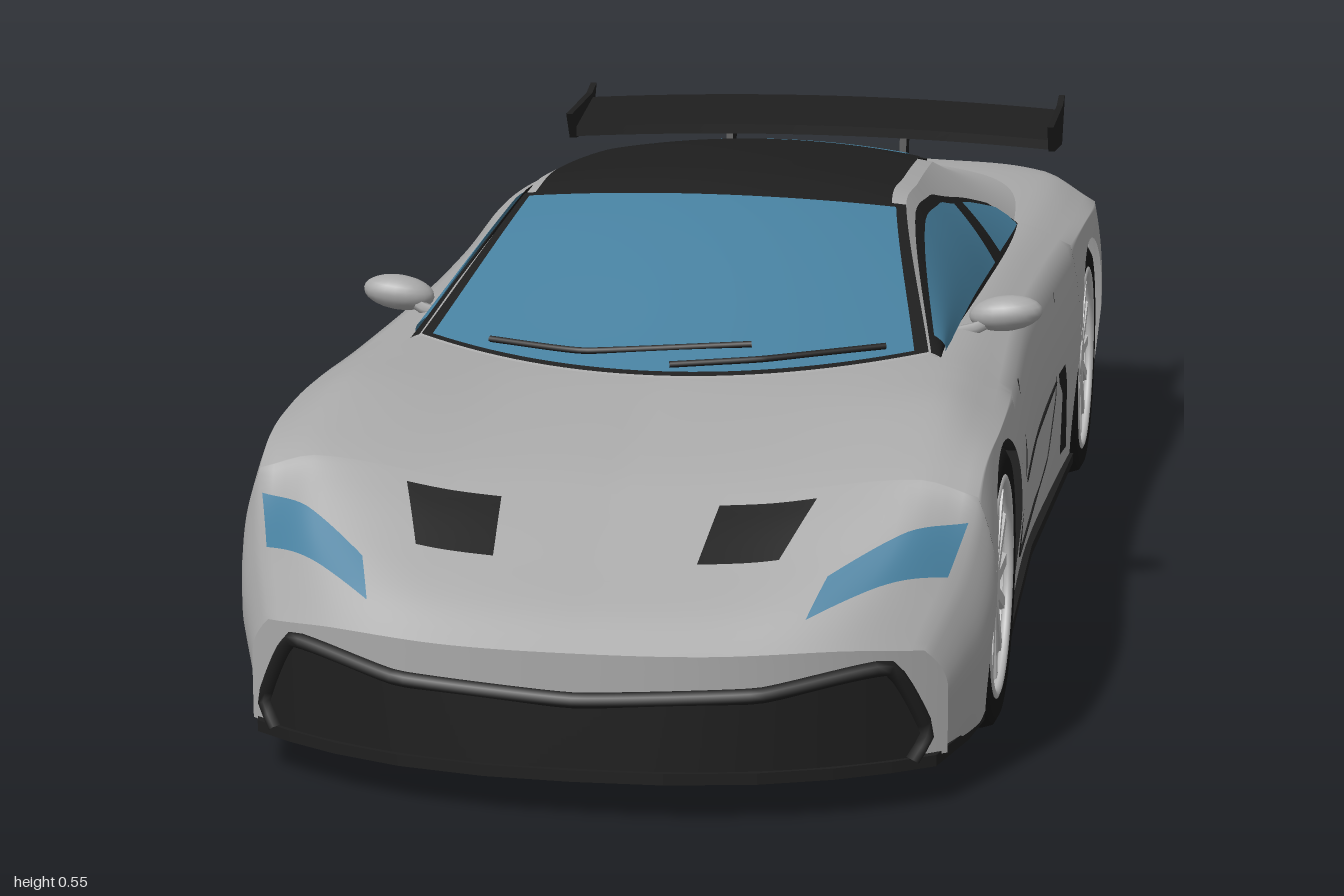
import * as THREE from 'three';
import { mergeGeometries, mergeVertices } from 'three/addons/utils/BufferGeometryUtils.js';

const mat = (name, color) => new THREE.MeshStandardMaterial({ name, color, side: THREE.DoubleSide });
const lerp = THREE.MathUtils.lerp;

// Linear and smooth interpolation in rows of [t, a, b, ...]
function span(rows, t) {
  let i = 0;
  while (i < rows.length - 2 && rows[i + 1][0] < t) i++;
  return i;
}
function lin(rows, t, c = 1) {
  const i = span(rows, t), a = rows[i], b = rows[i + 1];
  return lerp(a[c], b[c], THREE.MathUtils.clamp((t - a[0]) / (b[0] - a[0]), 0, 1));
}
function key(rows, t, c = 1) {
  const i = span(rows, t), n = rows.length - 1, a = rows[i], b = rows[i + 1], d = b[0] - a[0];
  const slope = k => {
    const p = rows[Math.max(k - 1, 0)], q = rows[Math.min(k + 1, n)];
    return (q[c] - p[c]) / (q[0] - p[0]) * d;
  };
  const f = THREE.MathUtils.clamp((t - a[0]) / d, 0, 1), g = f * f, h = g * f;
  return (2 * h - 3 * g + 1) * a[c] + (h - 2 * g + f) * slope(i) + (3 * g - 2 * h) * b[c] + (h - g) * slope(i + 1);
}

// Grid surface from a rule fn(u, v) -> [x, y, z]
function patch(fn, nu = 16, nv = 12) {
  const pos = [], idx = [];
  for (let j = 0; j <= nv; j++) for (let i = 0; i <= nu; i++) pos.push(...fn(i / nu, j / nv));
  for (let j = 0; j < nv; j++) for (let i = 0; i < nu; i++) {
    const a = j * (nu + 1) + i, c = a + nu + 1;
    idx.push(a, a + 1, c, a + 1, c + 1, c);
  }
  const g = new THREE.BufferGeometry();
  g.setAttribute('position', new THREE.Float32BufferAttribute(pos, 3));
  g.setIndex(idx);
  g.computeVertexNormals();
  return g;
}
const tube = (pts, r, closed = false, n = 32) => new THREE.TubeGeometry(
  new THREE.CatmullRomCurve3(pts.map(p => new THREE.Vector3(...p)), closed, 'catmullrom', 0.2), n, r, 6, closed);

// Body stations: z, centre y, crown x, crown y, shoulder x, shoulder y, widest x
const BODY = [
  [-0.985, 0.385, 0.33, 0.37, 0.39, 0.345, 0.41], [-0.93, 0.395, 0.34, 0.385, 0.4, 0.355, 0.42],
  [-0.8, 0.4, 0.35, 0.395, 0.42, 0.36, 0.433], [-0.6, 0.39, 0.35, 0.395, 0.42, 0.365, 0.435],
  [-0.3, 0.385, 0.34, 0.388, 0.405, 0.36, 0.422], [0, 0.38, 0.335, 0.385, 0.398, 0.36, 0.415],
  [0.3, 0.38, 0.335, 0.385, 0.41, 0.355, 0.426], [0.45, 0.372, 0.345, 0.385, 0.418, 0.355, 0.434],
  [0.57, 0.35, 0.35, 0.38, 0.42, 0.352, 0.436], [0.7, 0.318, 0.35, 0.35, 0.415, 0.338, 0.436],
  [0.78, 0.285, 0.34, 0.315, 0.41, 0.29, 0.434], [0.86, 0.25, 0.33, 0.272, 0.4, 0.242, 0.425],
  [0.93, 0.22, 0.3, 0.228, 0.385, 0.208, 0.41], [0.985, 0.187, 0.28, 0.187, 0.37, 0.177, 0.395]];
const AXLE = 0.165, ARCH = 0.172, FRONT = 0.57, REAR = -0.63, SILL = 0.055, END = 0.985;
const TUCK = [[0.05, 0.035], [0.14, 0], [0.25, -0.013], [0.385, 0]];

const topY = (x, z) => {
  const k = c => key(BODY, z, c), yc = k(1), xc = k(2), yr = k(3);
  return key([[0, yc], [xc / 2, yc + (yr - yc) * 0.3], [xc, yr], [k(4), k(5)]], Math.abs(x));
};
const sideX = (y, z) => {
  const xs = key(BODY, z, 4), ys = key(BODY, z, 5), f = Math.max(0, (ys - y) / (ys - SILL));
  const g = Math.min(1, f / 0.4);
  return xs + (key(BODY, z, 6) - xs) * (1 - (1 - g) ** 2) - 0.03 * Math.max(0, f - 0.5);
};
// Sweeps the nose and tail back towards the corners
function warp(x, y, z) {
  const f = Math.max(0, (z - 0.742) / 0.243), r = Math.max(0, (-0.802 - z) / 0.183), a = Math.abs(x);
  return [x, y, z - f * 0.13 * (a / 0.4) ** 2.5 + r * (0.07 * (a / 0.36) ** 4 + lin(TUCK, y))];
}
function section(s, z, low) {
  const a = Math.abs(s), sg = Math.sign(s);
  if (a <= 0.6501) { const x = key(BODY, z, 4) * a / 0.65; return [sg * x, topY(x, z)]; }
  const y = lerp(key(BODY, z, 5), low, (a - 0.65) / 0.35);
  return [sg * sideX(y, z), y];
}

// Cabin rows: v, centre z, centre y, edge z, edge x, edge y, base x, base y
const CABIN = [
  [0, 0.48, 0.377, 0.36, 0.312, 0.39, 0.32, 0.378], [1, 0.1, 0.527, 0.06, 0.247, 0.508, 0.33, 0.378],
  [1.5, -0.08, 0.537, -0.1, 0.243, 0.512, 0.335, 0.38], [2, -0.41, 0.503, -0.41, 0.225, 0.482, 0.345, 0.382],
  [3, -0.79, 0.42, -0.79, 0.185, 0.407, 0.345, 0.385], [3.4, -0.93, 0.392, -0.93, 0.19, 0.387, 0.335, 0.378]];
function cabinTop(u, v, e = 0) {
  const k = c => key(CABIN, v, c), q = u * u;
  return [k(4) * u, lerp(k(2), k(5), q) + e, lerp(k(1), k(3), q) + e * 0.3];
}
function cabinSide(w, v, e = 0) {
  const k = c => key(CABIN, v, c);
  return [lerp(k(4), k(6), w) + 0.008 * Math.sin(Math.PI * w) + e, lerp(k(5), k(7), w) + e * 0.6, k(3)];
}

export function createModel() {
  const paint = mat('body grey', 0xa8a8a8), black = mat('trim black', 0x1e1e1e), glass = mat('blue glass', 0x467f9e);
  const rubber = mat('tyre black', 0x161616), alloy = mat('wheel silver', 0xb9b9b9), steel = mat('brake grey', 0x555555);
  const car = new THREE.Group();
  car.name = 'sportsCar';
  const add = (name, geo, m, parent = car) => {
    const mesh = new THREE.Mesh(geo, m);
    mesh.name = name;
    parent.add(mesh);
    return mesh;
  };
  const pair = (name, geo, m) => { add(name + 'Left', geo, m); add(name + 'Right', geo, m).scale.x = -1; };

  // Body shell: three closed lengths and two wheel arches
  const flat = z => () => z;
  const rim = (c, d) => y => c + d * Math.sqrt(ARCH * ARCH - Math.max(0, AXLE - y) ** 2);
  const shell = [[flat(END), rim(FRONT, 1), 24], [rim(FRONT, -1), rim(REAR, 1), 36], [rim(REAR, -1), flat(-END), 18]]
    .map(([a, b, n]) => patch((u, v) => {
      const [x, y] = section(u * 2 - 1, lerp(a(1), b(1), v), SILL);
      return warp(x, y, lerp(a(y), b(y), v));
    }, 80, n));
  for (const c of [FRONT, REAR]) shell.push(patch((u, v) => {
    const z = c + ARCH * Math.cos(Math.PI * v);
    return warp(...section(u * 2 - 1, z, AXLE + ARCH * Math.sin(Math.PI * v)), z);
  }, 80, 28));
  shell.forEach(g => g.deleteAttribute('normal'));
  const body = mergeVertices(mergeGeometries(shell), 1e-4);
  body.computeVertexNormals();
  add('bodyShell', body, paint);
  for (const d of [1, -1]) add(d > 0 ? 'noseFace' : 'tailFace', patch((u, v) => {
    const [x, y] = section(d * (u * 2 - 1), d * END, SILL);
    return warp(x, lerp(SILL, y, v), d * END);
  }, 80, 12), paint);

  // Plates that follow the nose or tail face, between two height profiles
  const onFace = (x, y, d, e) => { const p = warp(x, y, d * END); p[2] += d * e; return p; };
  const facePlate = (x0, x1, lo, hi, d, e) => patch((u, v) => {
    const x = lerp(x0, x1, u) * d, a = Math.abs(x);
    return onFace(x, lerp(lin(lo, a), lin(hi, a), v), d, e);
  }, 48, 8);
  const level = y => [[0, y], [1, y]];
  const grilleTop = [[0, 0.14], [0.2, 0.148], [0.33, 0.17], [0.345, 0.164], [0.375, 0.09]];
  const grilleLow = [[0, 0.05], [0.355, 0.05], [0.375, 0.085]];
  add('frontGrille', facePlate(-0.375, 0.375, grilleLow, grilleTop, 1, 0.005), black);
  const brow = [-0.36, -0.375, -0.335, -0.2, 0, 0.2, 0.335, 0.375, 0.36].map((x, i) =>
    onFace(x, i === 0 || i === 8 ? 0.055 : lin(grilleTop, Math.abs(x)) - 0.004, 1, 0.006));
  add('grilleFrame', tube(brow, 0.009, false, 60), black);
  add('rearPanel', facePlate(-0.375, 0.375, [[0, 0.2], [0.25, 0.2], [0.34, 0.22], [0.375, 0.28]],
    [[0, 0.362], [0.33, 0.36], [0.375, 0.34]], -1, 0.005), black);
  const panelRim = [[-0.17, 0.33], [0.17, 0.33], [0.2, 0.29], [0.15, 0.22], [-0.15, 0.22], [-0.2, 0.29]];
  add('rearPanelFrame', tube(panelRim.map(p => onFace(...p, -1, 0.008)), 0.007, true, 60), black);
  pair('tailLight', facePlate(-0.24, -0.365, level(0.33), level(0.357), -1, 0.009), glass);
  for (let i = 0; i < 4; i++) pair('rearSlat', tube([0.22, 0.28, 0.355].map(x => onFace(x, 0.235 + i * 0.024, -1, 0.007)), 0.005), black);
  add('diffuser', facePlate(-0.37, 0.37, level(0.052), [[0, 0.13], [0.2, 0.13], [0.37, 0.155]], -1, 0.006), black);
  for (let i = 0; i < 6; i++) {
    const x = -0.25 + i * 0.1;
    add('diffuserFin', new THREE.BoxGeometry(0.01, 0.06, 0.09), black).position.set(x, 0.09, -0.945 + Math.abs(x) * 0.08);
  }

  // Head lights and bonnet vents laid on the upper body; corners are [x, z]
  const topPlate = ([a, b, c, d], e) => patch((u, v) => {
    const x = lerp(lerp(a[0], b[0], u), lerp(d[0], c[0], u), v), z = lerp(lerp(a[1], b[1], u), lerp(d[1], c[1], u), v);
    const p = warp(x, topY(x, z), z);
    return [p[0], p[1] + e, p[2] + e];
  });
  pair('headLight', topPlate([[0.245, 0.95], [0.388, 0.875], [0.405, 0.785], [0.262, 0.895]], 0.004), glass);
  pair('bonnetVent', topPlate([[0.115, 0.86], [0.205, 0.86], [0.235, 0.765], [0.125, 0.765]], 0.004), black);

  // Side intakes, rear corner trim and door seams; points are [z, y]
  const onSide = (z, y, e) => { const p = warp(sideX(y, z), y, z); p[0] += e; return p; };
  const sidePlate = (A, B) => patch((u, v) => {
    const t = u * (A.length - 1), i = Math.min(Math.floor(t), A.length - 2), f = t - i;
    const at = (L, c) => lerp(L[i][c], L[i + 1][c], f);
    return onSide(lerp(at(A, 0), at(B, 0), v), lerp(at(A, 1), at(B, 1), v), 0.004);
  }, 16, 6);
  pair('sideIntake', sidePlate([[-0.2, 0.24], [-0.27, 0.238], [-0.385, 0.095]], [[-0.205, 0.228], [-0.25, 0.2], [-0.315, 0.1]]), black);
  pair('rearCornerTrim', sidePlate([[-0.8, 0.07], [-0.9, 0.085], [-0.98, 0.15]], [[-0.8, 0.055], [-0.9, 0.055], [-0.98, 0.055]]), black);
  const seam = [[0.28, 0.345], [0.285, 0.25], [0.27, 0.14], [0.22, 0.105], [-0.1, 0.105], [-0.18, 0.13], [-0.2, 0.22], [-0.25, 0.34]];
  pair('doorSeam', tube(seam.map(p => onSide(...p, 0)), 0.0015, false, 60), black);
  pair('sideCrease', tube([[0.27, 0.215], [0.05, 0.215], [-0.2, 0.228]].map(p => onSide(...p, 0)), 0.002), black);

  // Cabin shell with glass, roof and pillars laid over it
  const topBand = (w, v0, v1, e) => patch((u, v) => cabinTop((u * 2 - 1) * w, lerp(v0, v1, v), e), 28, 28);
  add('cabinTop', patch((u, v) => cabinTop(u * 2 - 1, v * 3.4), 28, 80), paint);
  pair('cabinSide', patch((u, v) => cabinSide(u, v * 3.4), 10, 80), paint);
  add('windscreenSurround', topBand(1, 0, 1.02, 0.003), black);
  add('windscreen', topBand(0.95, 0.01, 0.97, 0.006), glass);
  add('roofPanel', topBand(0.93, 0.97, 2, 0.006), black);
  add('rearWindowSurround', topBand(0.96, 2, 2.85, 0.003), black);
  add('rearWindow', topBand(0.84, 2, 3, 0.006), glass);
  const windowTop = [[0, 0], [1, 0.08], [1.5, 0.12], [1.8, 0.35], [2, 0.56], [2.1, 0.86]];
  const sideBand = (v0, v1, inset, low, e) => patch((u, v) => {
    const t = lerp(v0, v1, v);
    return cabinSide(lerp(Math.min(low, lin(windowTop, t) + inset), low, u), t, e);
  }, 8, 40);
  pair('sideWindowSurround', sideBand(0, 2.1, 0, 0.97, 0.003), black);
  pair('doorWindow', sideBand(0.12, 1.63, 0.09, 0.92, 0.006), glass);
  pair('quarterWindow', sideBand(1.72, 2.05, 0.07, 0.9, 0.006), glass);
  add('wiperLong', tube([[-0.7, 0.05], [-0.3, 0.07], [0.35, 0.13]].map(p => cabinTop(...p, 0.01)), 0.004), black);
  add('wiperShort', tube([[0.05, 0.03], [0.4, 0.05], [0.85, 0.05]].map(p => cabinTop(...p, 0.01)), 0.004), black);

  // Door mirrors
  pair('mirrorHousing', new THREE.SphereGeometry(1, 20, 12).scale(0.046, 0.022, 0.026).rotateZ(0.12).translate(0.386, 0.402, 0.17), paint);
  pair('mirrorArm', tube([[0.32, 0.378, 0.19], [0.35, 0.385, 0.185], [0.37, 0.395, 0.175]], 0.008), paint);

  // Floor pan with splitter and wheel notches, as [x, z]
  const half = [0, 0.1, 0.2, 0.28, 0.34, 0.385].map(x => [x, warp(x, 0.1, 0.985)[2] + 0.012]);
  half.push([0.41, 0.78], [0.42, 0.705], [0.29, 0.705], [0.29, 0.435], [0.42, 0.435], [0.408, 0], [0.42, -0.495],
    [0.29, -0.495], [0.29, -0.765], [0.42, -0.765], [0.39, -0.87], [0.3, -0.92], [0, -0.955]);
  const outline = half.concat(half.slice(1, -1).reverse().map(([x, z]) => [-x, z]));
  add('floorPan', new THREE.ExtrudeGeometry(new THREE.Shape(outline.map(p => new THREE.Vector2(...p))),
    { depth: 0.013, bevelEnabled: false }).rotateX(Math.PI / 2).translate(0, 0.058, 0), black);

  // Rear wing
  const blade = new THREE.BoxGeometry(0.71, 0.014, 0.13, 24, 1, 6), bp = blade.attributes.position;
  for (let i = 0; i < bp.count; i++) {
    const k = 1 - (bp.getX(i) / 0.355) ** 2, z = bp.getZ(i);
    bp.setXYZ(i, bp.getX(i), bp.getY(i) - 0.18 * z + 0.008 * k + 0.452, z - 0.025 * k - 0.87);
  }
  blade.computeVertexNormals();
  add('wingBlade', blade, black);
  const plate = new THREE.Shape([[-0.775, 0.472], [-0.8, 0.432], [-0.93, 0.42], [-0.965, 0.488], [-0.93, 0.478]].map(p => new THREE.Vector2(...p)));
  pair('wingEndPlate', new THREE.ExtrudeGeometry(plate, { depth: 0.009, bevelEnabled: false }).rotateY(-Math.PI / 2).translate(0.36, 0, 0), black);
  pair('wingStrut', new THREE.BoxGeometry(0.01, 0.075, 0.035).rotateX(-0.25).translate(0.13, 0.42, -0.88), black);

  // Wheels, built facing +z and turned outwards
  const tyre = new THREE.LatheGeometry([[0.128, -0.06], [0.15, -0.062], [0.161, -0.055], [0.165, -0.042], [0.165, 0.042],
    [0.161, 0.055], [0.15, 0.061], [0.128, 0.058]].map(p => new THREE.Vector2(...p)), 48).rotateX(Math.PI / 2);
  const turned = g => g.rotateX(Math.PI / 2);
  for (const side of [1, -1]) for (const z of [FRONT, REAR]) {
    const wheel = new THREE.Group();
    wheel.name = (z > 0 ? 'front' : 'rear') + (side > 0 ? 'Left' : 'Right') + 'Wheel';
    wheel.position.set(side * 0.365, AXLE, z);
    wheel.rotation.y = side * Math.PI / 2;
    car.add(wheel);
    add('tyre', tyre, rubber, wheel);
    add('rimBarrel', turned(new THREE.CylinderGeometry(0.128, 0.122, 0.11, 40, 1, true)), alloy, wheel);
    add('rimLip', new THREE.TorusGeometry(0.126, 0.006, 8, 48), alloy, wheel).position.z = 0.055;
    add('brakeDisc', turned(new THREE.CylinderGeometry(0.092, 0.092, 0.012, 32)), steel, wheel).position.z = 0.01;
    add('hub', turned(new THREE.CylinderGeometry(0.024, 0.032, 0.026, 20)), alloy, wheel).position.z = 0.042;
    for (let i = 0; i < 7; i++) {
      const arm = new THREE.Group();
      arm.name = 'spokePair';
      arm.rotation.z = i * Math.PI * 2 / 7;
      wheel.add(arm);
      for (const d of [1, -1]) {
        const spoke = add('spoke', new THREE.BoxGeometry(0.014, 0.106, 0.014), alloy, arm);
        spoke.position.set(d * 0.017, 0.073, 0.046);
        spoke.rotation.z = -d * 0.2;
      }
    }
    // Wheel housing
    add('archLiner', turned(new THREE.CylinderGeometry(ARCH, ARCH, 0.13, 36, 1, true, 0.84, Math.PI * 2 - 1.68)), black, wheel).position.z = -0.015;
    add('archWall', new THREE.CircleGeometry(ARCH, 36, -0.73, Math.PI + 1.46), black, wheel).position.z = -0.08;
  }
  return car;
}
